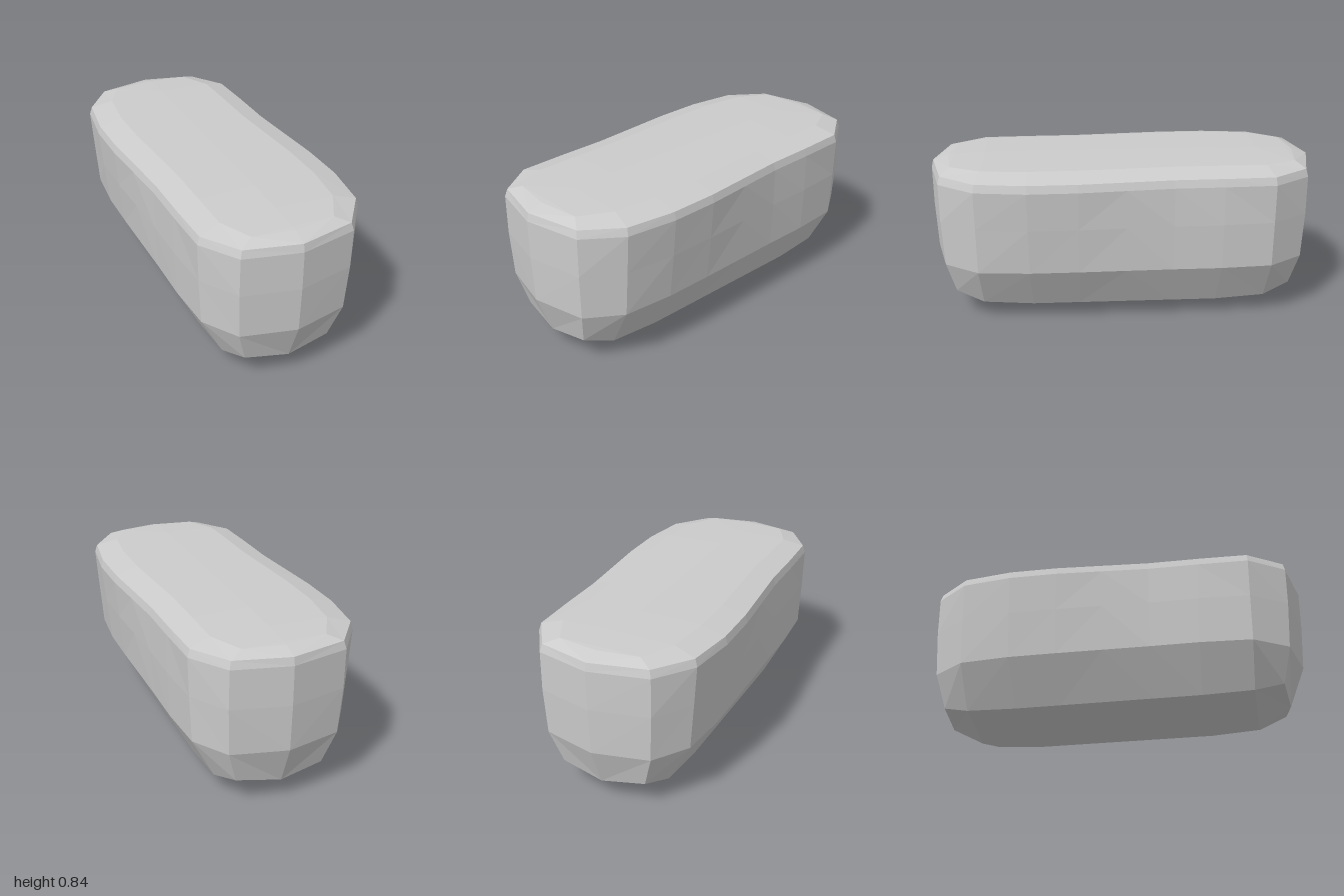
import * as THREE from 'three';

// Stations from one end to the middle: end, corner, shoulder, then the long sides.
// bend is how far the outline sways sideways at each station (mirrored at the other end).
const bend = [0, 0.25, 0.45, 1, 0.85, 0];

// Horizontal rings, bottom to top: half widths, lengths and heights at each station.
const same = (v) => Array(6).fill(v);
const rings = [
  // keel
  { sway: 0, x: same(0), z: [0.91, 0.91, 0.74, 0.48, 0.24, 0], y: [0.11, 0.11, 0.02, 0, 0, 0] },
  // chine
  { sway: 0, x: [0, 0.225, 0.278, 0.29, 0.29, 0.29], z: [0.91, 0.885, 0.74, 0.48, 0.24, 0], y: [0.11, 0.145, 0.1, 0.088, 0.088, 0.088] },
  // sides
  { sway: 0.005, x: [0, 0.278, 0.395, 0.415, 0.415, 0.415], z: [0.99, 0.925, 0.75, 0.49, 0.24, 0], y: same(0.32) },
  { sway: 0.013, x: [0, 0.288, 0.41, 0.433, 0.433, 0.433], z: [1, 0.935, 0.75, 0.49, 0.24, 0], y: same(0.56) },
  { sway: 0.023, x: [0, 0.288, 0.42, 0.441, 0.441, 0.441], z: [1, 0.935, 0.75, 0.49, 0.24, 0], y: same(0.76) },
  // bevelled rim
  { sway: 0.023, x: [0, 0.278, 0.408, 0.43, 0.43, 0.43], z: [0.99, 0.925, 0.745, 0.49, 0.24, 0], y: same(0.8) },
  { sway: 0.02, x: [0, 0.21, 0.295, 0.31, 0.31, 0.31], z: [0.91, 0.88, 0.72, 0.49, 0.24, 0], y: [0.825, 0.826, 0.829, 0.831, 0.831, 0.831] },
  // crest of the top
  { sway: 0, x: same(0), z: [0.91, 0.88, 0.72, 0.49, 0.24, 0], y: [0.825, 0.828, 0.835, 0.838, 0.838, 0.838] },
];

// Full loop of 20 points: along the left side front to back, then the right side back to front.
function ringPoints({ sway, x, z, y }) {
  const points = [];
  for (let i = 0; i < 20; i++) {
    const k = i <= 10 ? i : 20 - i;
    const side = i <= 10 ? 1 : -1;
    const end = k <= 5 ? 1 : -1;
    const s = k <= 5 ? k : 10 - k;
    points.push(new THREE.Vector3(side * x[s] + end * sway * bend[s], y[s], end * z[s]));
  }
  return points;
}

function hullGeometry() {
  const loops = rings.map(ringPoints);
  const positions = [];
  const addTriangle = (a, b, c) => {
    const triangle = new THREE.Triangle(a, b, c);
    if (triangle.getArea() > 1e-7) positions.push(...a, ...b, ...c);
  };
  for (let r = 0; r < loops.length - 1; r++) {
    const low = loops[r], high = loops[r + 1];
    for (let i = 0; i < 20; i++) {
      const j = (i + 1) % 20;
      // mirror the diagonal on the two halves of each side
      const flip = (i % 10) < 5;
      if (flip) {
        addTriangle(low[i], low[j], high[j]);
        addTriangle(low[i], high[j], high[i]);
      } else {
        addTriangle(low[i], low[j], high[i]);
        addTriangle(low[j], high[j], high[i]);
      }
    }
  }
  const geometry = new THREE.BufferGeometry();
  geometry.setAttribute('position', new THREE.Float32BufferAttribute(positions, 3));
  geometry.computeVertexNormals();
  return geometry;
}

export function createModel() {
  const group = new THREE.Group();
  group.name = 'curvedBlock';
  const material = new THREE.MeshStandardMaterial({ color: 0xcccccc, flatShading: true });
  const body = new THREE.Mesh(hullGeometry(), material);
  body.name = 'body';
  group.add(body);
  return group;
}
